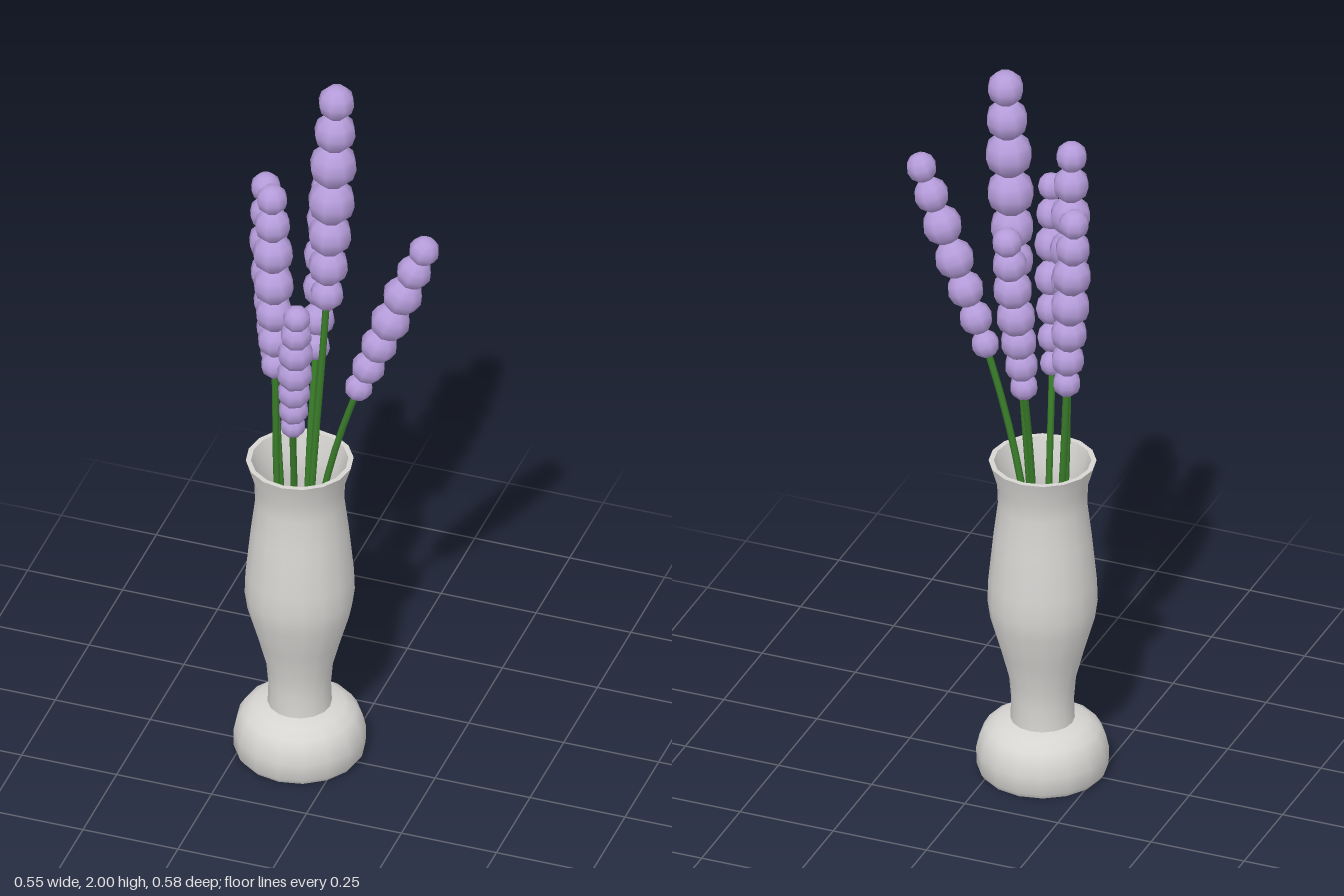
import * as THREE from 'three';
import { toCreasedNormals } from 'three/addons/utils/BufferGeometryUtils.js';

const vaseMat = new THREE.MeshStandardMaterial({ name: 'pale grey ceramic', color: 0xd6d5d2 });
const petalMat = new THREE.MeshStandardMaterial({ name: 'lavender', color: 0xb59cda });
const stemMat = new THREE.MeshStandardMaterial({ name: 'stem green', color: 0x3a7d2a });

// Bead spacing along a spike (0 = lowest, 1 = tip) and bead radii
const BEADS = [
  [0, 0.036], [0.147, 0.043], [0.31, 0.047], [0.483, 0.051],
  [0.673, 0.051], [0.845, 0.045], [1, 0.039],
];

// One flower: a curved stem through base, rim and lowest bead, then a spike of beads
function makeFlower({ base, rim, low, tip, scale }) {
  const flower = new THREE.Group();
  flower.name = 'flower';
  const [b, r, l, t] = [base, rim, low, tip].map((p) => new THREE.Vector3(...p));

  const curve = new THREE.CatmullRomCurve3([b, r, l, t]);
  const stem = new THREE.Mesh(new THREE.TubeGeometry(curve, 16, 0.009, 6), stemMat);
  stem.name = 'stem';
  flower.add(stem);

  const axis = t.clone().sub(l).normalize();
  const tilt = new THREE.Quaternion().setFromUnitVectors(new THREE.Vector3(0, 1, 0), axis);
  for (const [f, radius] of BEADS) {
    const bead = new THREE.Mesh(new THREE.SphereGeometry(radius * scale, 8, 6), petalMat);
    bead.name = 'blossom';
    bead.position.lerpVectors(l, t, f);
    bead.quaternion.copy(tilt);
    flower.add(bead);
  }
  return flower;
}

function makeVase() {
  // Outside from the foot up, over the lip, then down the inside to the floor
  const profile = [
    [0, 0], [0.155, 0], [0.164, 0.014], [0.165, 0.06], [0.157, 0.095], [0.142, 0.12],
    [0.115, 0.138], [0.08, 0.146], [0.078, 0.2], [0.083, 0.26], [0.104, 0.34],
    [0.13, 0.43], [0.137, 0.48], [0.135, 0.54], [0.122, 0.67], [0.111, 0.76],
    [0.113, 0.81], [0.134, 0.88], [0.121, 0.88], [0.102, 0.81], [0.099, 0.76],
    [0.11, 0.67], [0.123, 0.52], [0.117, 0.43], [0.09, 0.34], [0.071, 0.26],
    [0.067, 0.2], [0, 0.2],
  ].map(([x, y]) => new THREE.Vector2(x, y));
  const vase = new THREE.Mesh(
    toCreasedNormals(new THREE.LatheGeometry(profile, 16), 0.75), vaseMat);
  vase.name = 'vase';
  vase.position.set(-0.11, 0, -0.01);
  return vase;
}

export function createModel() {
  const model = new THREE.Group();
  model.name = 'vase of lavender';
  model.add(makeVase());

  const flowers = [
    // tall centre
    { base: [-0.115, 0.25, -0.015], rim: [-0.08, 0.88, -0.032], low: [-0.05, 1.375, -0.043], tip: [-0.03, 1.953, -0.057], scale: 1.2 },
    // leaning to the left side
    { base: [-0.11, 0.4, 0], rim: [-0.025, 0.88, 0.013], low: [0.057, 1.16, 0.022], tip: [0.232, 1.622, 0.031], scale: 1 },
    // leaning back
    { base: [-0.108, 0.4, -0.03], rim: [-0.104, 0.88, -0.067], low: [-0.106, 1.15, -0.122], tip: [-0.114, 1.632, -0.25], scale: 1 },
    // leaning forward
    { base: [-0.112, 0.4, 0], rim: [-0.095, 0.88, 0.075], low: [-0.08, 1.08, 0.125], tip: [-0.024, 1.505, 0.255], scale: 0.9 },
    // back, right side
    { base: [-0.14, 0.35, -0.02], rim: [-0.182, 0.88, -0.053], low: [-0.198, 1.15, -0.066], tip: [-0.228, 1.625, -0.092], scale: 1 },
    // front, right side
    { base: [-0.135, 0.3, 0.03], rim: [-0.15, 0.88, 0.05], low: [-0.15, 1.205, 0.059], tip: [-0.154, 1.715, 0.072], scale: 1.03 },
  ];
  for (const f of flowers) model.add(makeFlower(f));
  return model;
}
